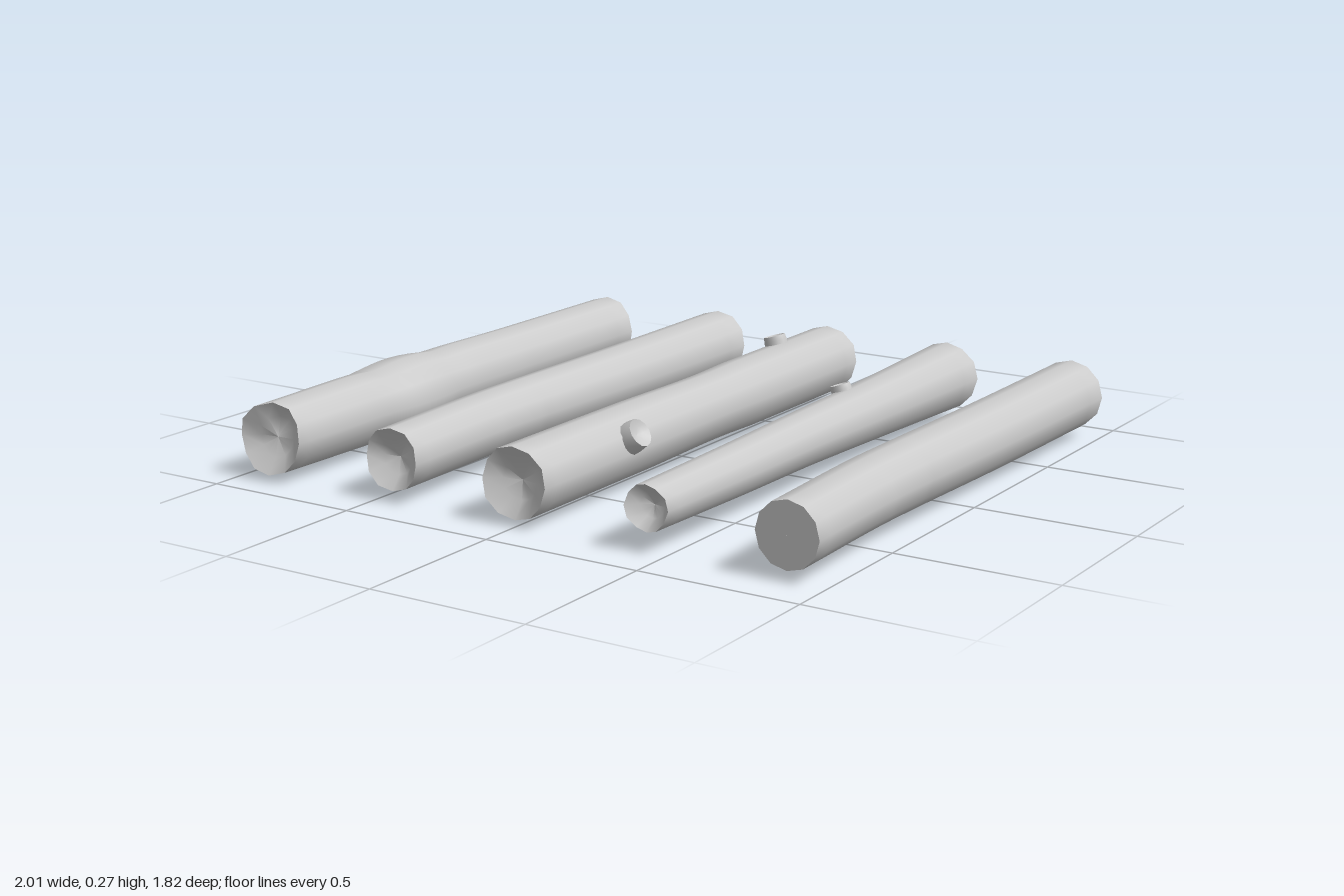
import * as THREE from 'three';

const SIDES = 12;
const material = new THREE.MeshStandardMaterial({ color: 0xcccccc, side: THREE.DoubleSide });

// Skin a list of rings { x, y, z, r } running along z; shape(ring, angle) may change radius and z
function loft(rings, shape) {
  const pos = [], index = [];
  rings.forEach((ring, j) => {
    for (let i = 0; i < SIDES; i++) {
      const a = (i / SIDES) * Math.PI * 2;
      const { dr = 0, dz = 0 } = shape ? shape(ring, a) : {};
      const r = ring.r + dr;
      pos.push(ring.x + r * Math.cos(a), ring.y + r * Math.sin(a), ring.z + dz);
      if (j === rings.length - 1) continue;
      const k = (i + 1) % SIDES, p = j * SIDES, q = p + SIDES;
      index.push(p + i, p + k, q + k, p + i, q + k, q + i);
    }
  });
  const geo = new THREE.BufferGeometry();
  geo.setAttribute('position', new THREE.Float32BufferAttribute(pos, 3));
  geo.setIndex(index);
  geo.computeVertexNormals();
  return geo;
}

function add(group, name, geo) {
  const mesh = new THREE.Mesh(geo, material);
  mesh.name = name;
  group.add(mesh);
  return mesh;
}

// Side wall plus a hollowed (or flat) cap at each end
function addLimb(group, rings, depth, shape) {
  const back = rings[0], front = rings[rings.length - 1];
  const cap = (e, s) => [
    e,
    { ...e, r: e.r * 0.55, z: e.z - s * depth * 0.75 },
    { ...e, r: 0.001, z: e.z - s * depth },
  ];
  add(group, 'side', loft(rings, shape));
  add(group, 'frontEnd', loft(cap(front, 1), shape));
  add(group, 'backEnd', loft(cap(back, -1).reverse(), shape));
}

// keys: [x, y, z, radius] from back to front
function makeLog(name, keys, { depth = 0.045, wobble = 0.006, phase = 0, dent = null, notch = 0 } = {}) {
  const group = new THREE.Group();
  group.name = name;
  const path = new THREE.CatmullRomCurve3(keys.map(k => new THREE.Vector3(k[0], k[1], k[2])));
  const radii = new THREE.CatmullRomCurve3(keys.map(k => new THREE.Vector3(k[3], 0, 0)));
  const rings = [];
  for (let i = 0; i <= 28; i++) {
    const { x, y, z } = path.getPoint(i / 28);
    rings.push({ x, y, z, r: radii.getPoint(i / 28).x });
  }
  const zBack = keys[0][2], zFront = keys[keys.length - 1][2];
  addLimb(group, rings, depth, (ring, a) => {
    // uneven saw cut at the ends
    const nearEnd = ring.z > zFront - 0.06 || ring.z < zBack + 0.06;
    const rim = nearEnd ? Math.min(1, ring.r / 0.05) : 0;
    let dz = rim * wobble * Math.sin(3 * a + phase);
    if (ring.z > zFront - 0.06) dz -= rim * notch * Math.max(0, Math.cos(a - 0.9));
    return { dr: dent ? dent(ring.z, a) : 0, dz };
  });
  return group;
}

// Cut branch: base point, direction, radius and length
function addStub(log, base, dir, r, length) {
  const stub = new THREE.Group();
  stub.name = 'branchStub';
  const ring = (z, s) => ({ x: 0, y: 0, z, r: r * s });
  addLimb(stub, [ring(-0.03, 1), ring(length * 0.5, 1), ring(length, 0.92)], 0.015);
  stub.position.set(...base);
  stub.quaternion.setFromUnitVectors(new THREE.Vector3(0, 0, 1), new THREE.Vector3(...dir).normalize());
  log.add(stub);
}

export function createModel() {
  const model = new THREE.Group();
  model.name = 'logs';

  // Shallow groove on the upper side, deepest just before its blunt front end
  const groove = (z, a) => {
    if (z < 0 || z > 0.46) return 0;
    const along = z < 0.38 ? z / 0.38 : (0.46 - z) / 0.08;
    const around = Math.max(0, Math.cos((a - 1.25) * 1.6));
    return Math.abs(a - 1.25) < 1 ? -0.022 * along * around : 0;
  };

  const groovedLog = makeLog('groovedLog', [
    [-0.88, 0.12, -0.88, 0.109], [-0.882, 0.12, -0.3, 0.11],
    [-0.886, 0.12, 0.1, 0.114], [-0.886, 0.118, 0.45, 0.114], [-0.88, 0.119, 0.9, 0.109],
  ], { wobble: 0.007, phase: 1, notch: 0.03, dent: groove });

  const bentLog = makeLog('bentLog', [
    [-0.435, 0.118, -0.91, 0.109], [-0.442, 0.118, -0.3, 0.104],
    [-0.456, 0.118, 0.2, 0.1], [-0.459, 0.118, 0.42, 0.098], [-0.437, 0.119, 0.87, 0.095],
  ], { phase: 2 });

  const straightLog = makeLog('straightLog', [
    [0, 0.118, -0.91, 0.11], [0, 0.118, -0.3, 0.109], [0, 0.118, 0.3, 0.109], [0, 0.118, 0.87, 0.109],
  ], { phase: 3 });
  addStub(straightLog, [-0.03, 0.215, -0.62], [-0.3, 1, 0], 0.038, 0.032);
  addStub(straightLog, [0.08, 0.15, 0.42], [1, 0.65, 0], 0.048, 0.056);

  const taperedLog = makeLog('taperedLog', [
    [0.447, 0.118, -0.91, 0.11], [0.446, 0.118, -0.35, 0.092],
    [0.441, 0.118, 0.05, 0.083], [0.444, 0.118, 0.42, 0.077], [0.443, 0.119, 0.87, 0.069],
  ], { phase: 4 });
  addStub(taperedLog, [0.412, 0.19, -0.27], [-0.35, 1, 0], 0.033, 0.028);

  const flatEndedLog = makeLog('flatEndedLog', [
    [0.889, 0.118, -0.905, 0.108], [0.884, 0.118, -0.3, 0.105],
    [0.87, 0.118, 0.2, 0.102], [0.867, 0.118, 0.42, 0.101], [0.884, 0.119, 0.87, 0.098],
  ], { depth: 0, wobble: 0 });

  model.add(groovedLog, bentLog, straightLog, taperedLog, flatEndedLog);
  model.position.y = -0.002;
  return model;
}
